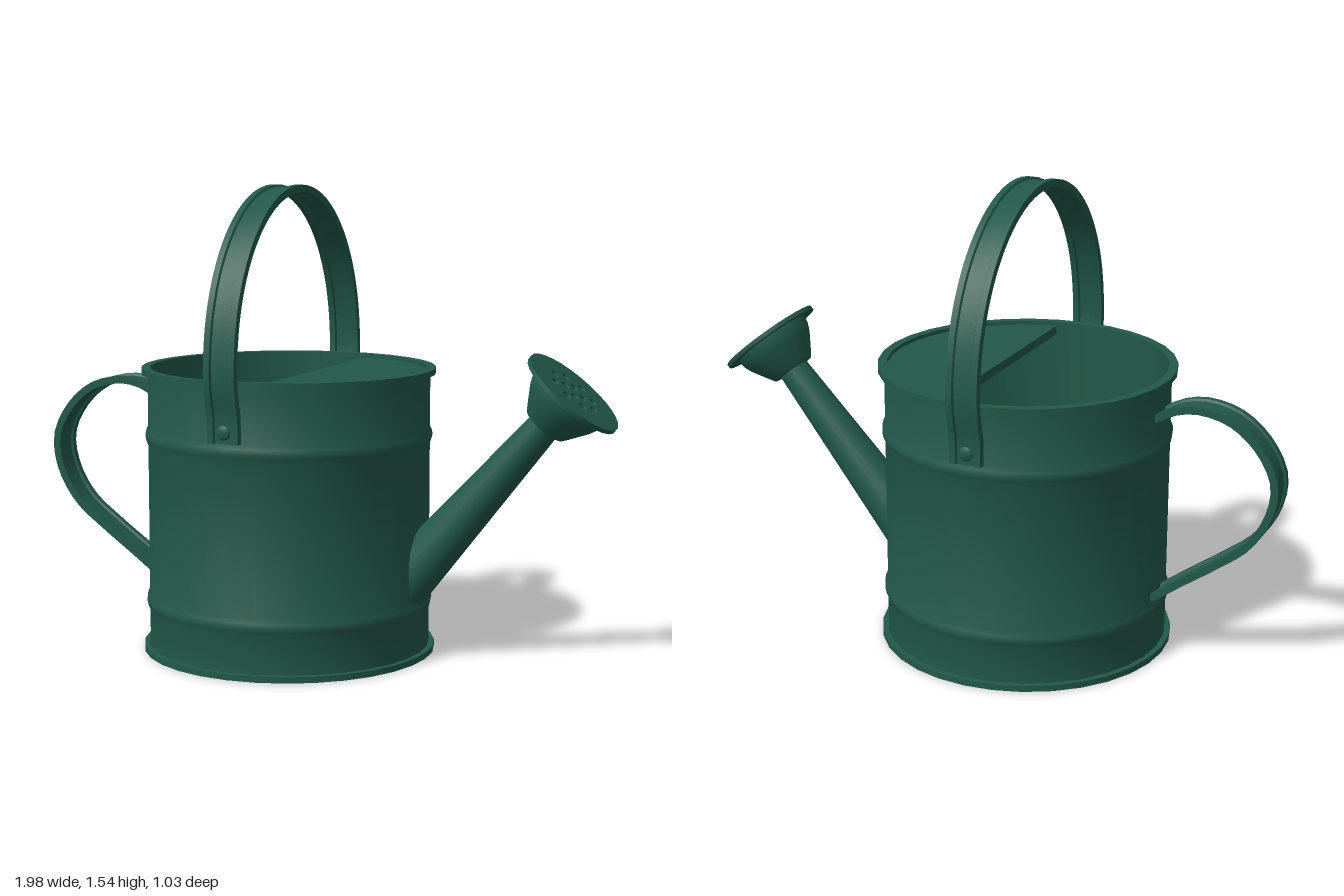
import * as THREE from 'three';
import { toCreasedNormals } from 'three/addons/utils/BufferGeometryUtils.js';

const green = new THREE.MeshStandardMaterial({ color: 0x22594a, side: THREE.DoubleSide });
const dark = new THREE.MeshStandardMaterial({ color: 0x0a1512 });
const CX = -0.125; // body axis
const v2 = (p) => new THREE.Vector2(p[0], p[1]);

function add(parent, name, geometry, material = green) {
  const mesh = new THREE.Mesh(geometry, material);
  mesh.name = name;
  parent.add(mesh);
  return mesh;
}

const lathe = (points, sides) => new THREE.LatheGeometry(points.map(v2), sides);

// Metal strap with a raised bead along both edges, swept along a path in the XY plane
function strap(path, width, steps) {
  const w = width / 2, b = 0.02, h = 0.0125, web = 0.005;
  const section = [
    [h, -w], [h, b - w], [web, b - w + 0.004], [web, w - b - 0.004], [h, w - b], [h, w],
    [-h, w], [-h, w - b], [-web, w - b - 0.004], [-web, b - w + 0.004], [-h, b - w], [-h, -w],
  ];
  const n = section.length, pos = [], idx = [];
  const curve = new THREE.CatmullRomCurve3(path.map((p) => new THREE.Vector3(p[0], p[1], 0)));
  for (let i = 0; i <= steps; i++) {
    const p = curve.getPointAt(i / steps), t = curve.getTangentAt(i / steps);
    for (const [u, z] of section) pos.push(p.x - t.y * u, p.y + t.x * u, z);
  }
  for (let i = 0; i < steps; i++) {
    for (let j = 0; j < n; j++) {
      const k = (j + 1) % n, a = i * n + j, d = i * n + k;
      idx.push(a, d, d + n, a, d + n, a + n);
    }
  }
  const last = steps * n;
  for (const [a, c, d] of THREE.ShapeUtils.triangulateShape(section.map(v2), [])) {
    idx.push(a, d, c, last + a, last + c, last + d);
  }
  const g = new THREE.BufferGeometry();
  g.setAttribute('position', new THREE.Float32BufferAttribute(pos, 3));
  g.setIndex(idx);
  return toCreasedNormals(g, 0.5);
}

function createBody() {
  const body = new THREE.Group();
  body.name = 'body';
  body.position.x = CX;

  // Outer wall with flanges and two pressed beads, then the inside wall and floor
  const bead = (y) => [[0.468, y - 0.028], [0.474, y - 0.014], [0.477, y], [0.474, y + 0.014], [0.468, y + 0.028]];
  const profile = [
    [0, 0], [0.487, 0], [0.487, 0.02], [0.468, 0.02],
    ...bead(0.17), ...bead(0.72),
    [0.468, 0.925], [0.487, 0.925], [0.487, 0.945], [0.458, 0.945], [0.458, 0.025], [0, 0.025],
  ];
  add(body, 'canWall', toCreasedNormals(lathe(profile, 32), 0.6));

  // Half cover over the spout side, with a folded edge
  const chord = 0.095, r = 0.462, angle = Math.acos(chord / r);
  const shape = new THREE.Shape().absarc(0, 0, r, -angle, angle, false);
  const cover = new THREE.ExtrudeGeometry(shape, { depth: 0.01, bevelEnabled: false, curveSegments: 16 });
  add(body, 'halfCover', cover.rotateX(-Math.PI / 2).translate(0, 0.922, 0));
  const fold = new THREE.BoxGeometry(0.012, 0.03, 2 * r * Math.sin(angle) - 0.01);
  add(body, 'coverFold', fold.translate(chord, 0.917, 0));
  return body;
}

function createSpout() {
  const spout = new THREE.Group();
  spout.name = 'spout';
  const axis = new THREE.Vector3(0.645, 0.764, 0).normalize();
  const turn = new THREE.Quaternion().setFromUnitVectors(new THREE.Vector3(0, 1, 0), axis);
  const face = new THREE.Vector3(0.85, 0.907, 0);

  // Tapered pipe whose first ring slides along the axis onto the can wall
  const pipe = lathe([[0.086, -0.8], [0.052, -0.13]], 24);
  pipe.applyQuaternion(turn).translate(face.x, face.y, 0);
  const p = pipe.attributes.position;
  for (let i = 0; i < p.count; i += 2) {
    const x = CX + Math.sqrt(0.463 ** 2 - p.getZ(i) ** 2);
    p.setY(i, p.getY(i) + (x - p.getX(i)) * axis.y / axis.x);
    p.setX(i, x);
  }
  add(spout, 'spoutPipe', toCreasedNormals(pipe, 0.6));

  // Sprinkler head
  const rose = new THREE.Group();
  rose.name = 'rose';
  rose.position.copy(face);
  rose.quaternion.copy(turn);
  spout.add(rose);
  const bowl = [[0.05, -0.145], [0.075, -0.143], [0.085, -0.128], [0.122, -0.068], [0.134, -0.04], [0.137, -0.014]];
  add(rose, 'roseBowl', toCreasedNormals(lathe(bowl, 24), 0.6));

  const plate = new THREE.Shape().absarc(0, 0, 0.176, 0, Math.PI * 2, false);
  for (const [count, radius, start] of [[8, 0.082, 0], [4, 0.036, 0.4]]) {
    for (let i = 0; i < count; i++) {
      const a = start + (i / count) * Math.PI * 2;
      plate.holes.push(new THREE.Path().absarc(radius * Math.cos(a), radius * Math.sin(a), 0.015, 0, Math.PI * 2, true));
    }
  }
  const disc = new THREE.ExtrudeGeometry(plate, { depth: 0.014, bevelEnabled: false, curveSegments: 14 });
  add(rose, 'rosePlate', toCreasedNormals(disc.rotateX(-Math.PI / 2).translate(0, -0.014, 0), 0.6));
  const backing = new THREE.CircleGeometry(0.12, 24).rotateX(-Math.PI / 2).translate(0, -0.008, 0);
  add(rose, 'holeShadow', backing, dark);
  return spout;
}

function createTopHandle() {
  const handle = new THREE.Group();
  handle.name = 'topHandle';
  handle.position.x = -0.132;

  // Arch over the can: feet hug the wall, then step out past the rim
  const half = [[0.478, 0.75], [0.478, 0.83], [0.492, 0.89], [0.502, 0.96]];
  const arch = [];
  for (let i = 1; i < 12; i++) {
    const a = (i / 12) * Math.PI;
    arch.push([0.5 * Math.cos(a), 0.98 + 0.548 * Math.sin(a)]);
  }
  const mirrored = half.map(([x, y]) => [-x, y]).reverse();
  add(handle, 'topStrap', strap([...half, ...arch, ...mirrored], 0.105, 48).rotateY(Math.PI / 2));

  // Rivets on both feet
  for (const side of [1, -1]) {
    const rivet = new THREE.SphereGeometry(0.024, 16, 8, 0, Math.PI * 2, 0, Math.PI / 2);
    rivet.scale(1, 0.4, 1).rotateX(side * Math.PI / 2).translate(0, 0.785, side * 0.482);
    add(handle, 'rivet', rivet);
  }
  return handle;
}

export function createModel() {
  const model = new THREE.Group();
  model.name = 'wateringCan';
  model.add(createBody(), createSpout(), createTopHandle());

  // Rear grip loop
  const loop = [
    [-0.585, 0.827], [-0.65, 0.862], [-0.73, 0.876], [-0.84, 0.85], [-0.93, 0.775], [-0.983, 0.67],
    [-0.97, 0.56], [-0.905, 0.45], [-0.8, 0.365], [-0.69, 0.287], [-0.585, 0.21],
  ];
  add(model, 'rearHandle', strap(loop, 0.11, 30));
  return model;
}
